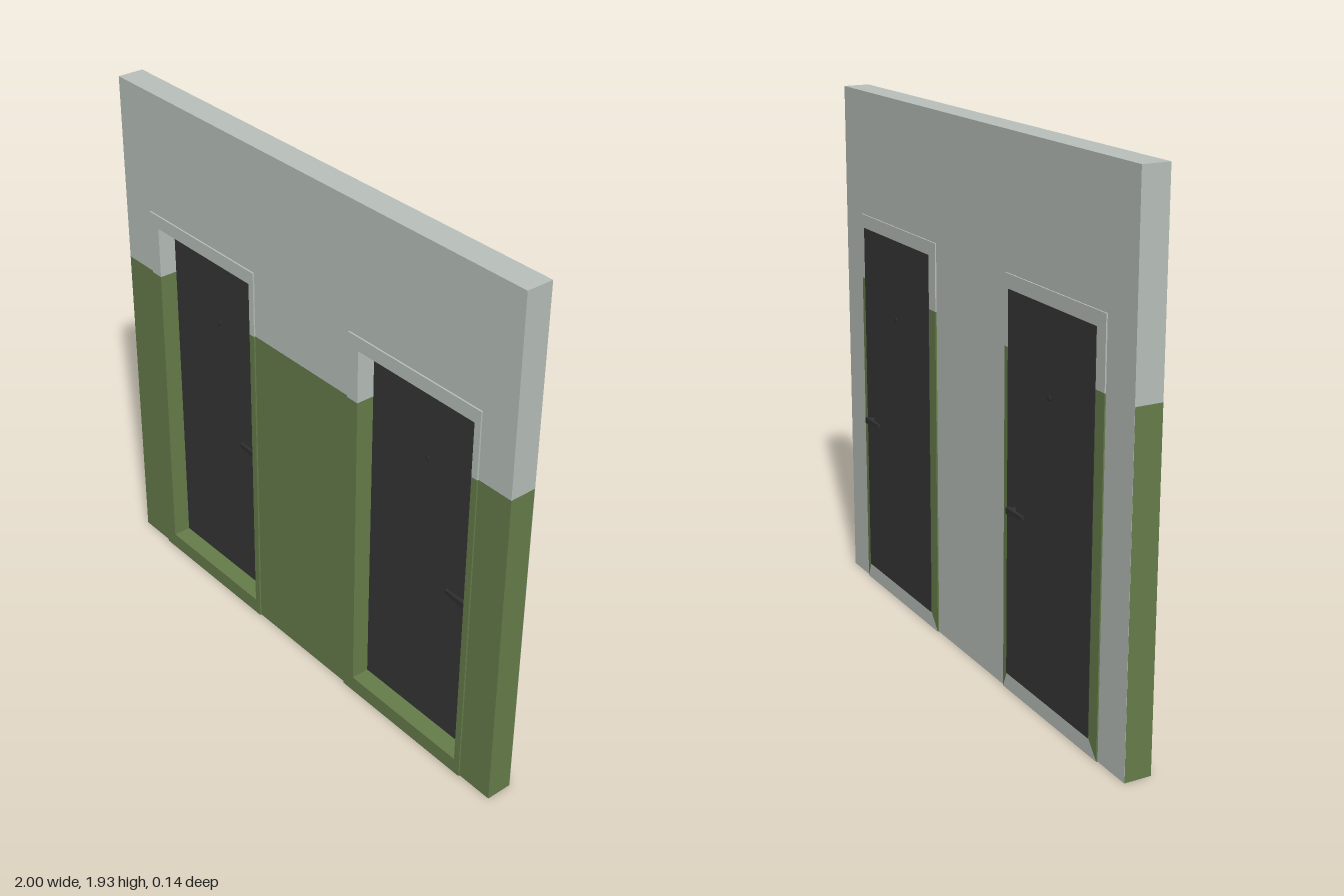
import * as THREE from 'three';

const mat = (name, color) => new THREE.MeshStandardMaterial({ name, color, flatShading: true });

export function createModel() {
  const group = new THREE.Group();
  const grey = mat('greyPaint', 0xb9c0ba);
  const green = mat('greenPaint', 0x667d4a);
  const charcoal = mat('charcoalDoor', 0x363636);
  const metal = mat('darkMetal', 0x303030);

  const H = 1.93, SPLIT = 1.225;           // wall height and paint line
  const SILL = 0.06, HEAD = 1.42, TRIM = 1.47;
  const FRONT = 0.064, BACK = -0.035;      // wall faces
  const doors = [-0.53, 0.57];             // door centres
  const HALF = 0.265, OUT_L = 0.315, OUT_R = 0.29;

  const add = (parent, name, geometry, material, x = 0, y = 0, z = 0) => {
    const mesh = new THREE.Mesh(geometry, material);
    mesh.name = name;
    mesh.position.set(x, y, z);
    parent.add(mesh);
    return mesh;
  };
  // Plate with an outline in x and y, running from z0 to z1
  const plate = (parent, name, points, z0, z1, material) => {
    const shape = new THREE.Shape(points.map(([x, y]) => new THREE.Vector2(x, y)));
    const geo = new THREE.ExtrudeGeometry(shape, { depth: z1 - z0, bevelEnabled: false });
    return add(parent, name, geo, material, 0, 0, z0);
  };

  // Wall outlines, notched around the two openings
  const lower = [[-1, 0], [1, 0], [1, SPLIT]];
  const upper = [[1, H], [-1, H], [-1, SPLIT]];
  for (const c of [...doors].reverse()) {
    lower.push([c + HALF, SPLIT], [c + HALF, SILL], [c - HALF, SILL], [c - HALF, SPLIT]);
  }
  lower.push([-1, SPLIT]);
  for (const c of doors) {
    upper.push([c - HALF, SPLIT], [c - HALF, HEAD], [c + HALF, HEAD], [c + HALF, SPLIT]);
  }
  upper.push([1, SPLIT]);
  plate(group, 'lowerWall', lower, BACK + 0.001, FRONT, green);
  plate(group, 'lowerWallBack', lower, BACK, BACK + 0.001, grey);
  plate(group, 'upperWall', upper, BACK, FRONT, grey);

  // Lever handle standing out along +z from the door face
  const makeHandle = () => {
    const handle = new THREE.Group();
    handle.name = 'handle';
    const neck = add(handle, 'handleNeck', new THREE.CylinderGeometry(0.008, 0.01, 0.024, 12), metal, 0, 0, 0.012);
    neck.rotation.x = Math.PI / 2;
    const s = new THREE.Shape();
    s.moveTo(0.011, 0.012);
    s.lineTo(0.011, 0.029);
    s.lineTo(-0.012, 0.028);
    s.quadraticCurveTo(-0.05, 0.026, -0.083, 0.022);
    s.lineTo(-0.083, 0.012);
    s.quadraticCurveTo(-0.05, 0.016, -0.012, 0.014);
    const geo = new THREE.ExtrudeGeometry(s, { depth: 0.022, bevelEnabled: false, curveSegments: 6 });
    geo.translate(0, 0, -0.011).rotateX(Math.PI / 2);
    // The profile is drawn in x and z; taper the lever towards its tip
    const p = geo.attributes.position;
    for (let i = 0; i < p.count; i++) {
      p.setY(i, p.getY(i) * (1 + Math.min(0, p.getX(i) + 0.012) * 5));
    }
    geo.computeVertexNormals();
    add(handle, 'handleLever', geo, metal);
    return handle;
  };

  doors.forEach((c, i) => {
    const door = new THREE.Group();
    door.name = i ? 'leftDoor' : 'rightDoor';
    group.add(door);
    const a = c - OUT_L, b = c + OUT_R, l = c - HALF, r = c + HALF;

    // Front trim, painted in two bands
    const F1 = 0.07, B1 = -0.04;
    const trimTop = [[a, SPLIT], [l, SPLIT], [l, HEAD], [r, HEAD], [r, SPLIT], [b, SPLIT], [b, TRIM], [a, TRIM]];
    plate(door, 'frontTrimUpper', trimTop, FRONT, F1, grey);
    plate(door, 'frontTrimLower',
      [[a, 0], [b, 0], [b, SPLIT], [r, SPLIT], [r, SILL], [l, SILL], [l, SPLIT], [a, SPLIT]], FRONT, F1, green);

    // Back trim with mitred lower corners
    plate(door, 'backTrimUpper', trimTop, B1, BACK, grey);
    plate(door, 'backTrimSideA', [[a, 0], [l, SILL], [l, SPLIT], [a, SPLIT]], B1, BACK, green);
    plate(door, 'backTrimSideB', [[b, 0], [b, SPLIT], [r, SPLIT], [r, SILL]], B1, BACK, green);
    plate(door, 'backTrimBottom', [[a, 0], [b, 0], [r, SILL], [l, SILL]], B1, BACK, grey);

    // Door leaf, close to the back of the opening
    const z0 = -0.042, z1 = 0.002;
    add(door, 'doorLeaf', new THREE.BoxGeometry(HALF * 2, HEAD - SILL, z1 - z0), charcoal,
      c, (SILL + HEAD) / 2, (z0 + z1) / 2);

    // Peephole through the leaf
    const peep = add(door, 'peephole', new THREE.CylinderGeometry(0.009, 0.009, z1 - z0 + 0.008, 16), metal,
      c, 1.125, (z0 + z1) / 2);
    peep.rotation.x = Math.PI / 2;

    // Handles on both faces
    const front = makeHandle();
    front.position.set(c + 0.213, 0.678, z1);
    const back = makeHandle();
    back.position.set(c + 0.213, 0.678, z0);
    back.rotation.set(Math.PI, 0, 0);
    door.add(front, back);
  });

  return group;
}
